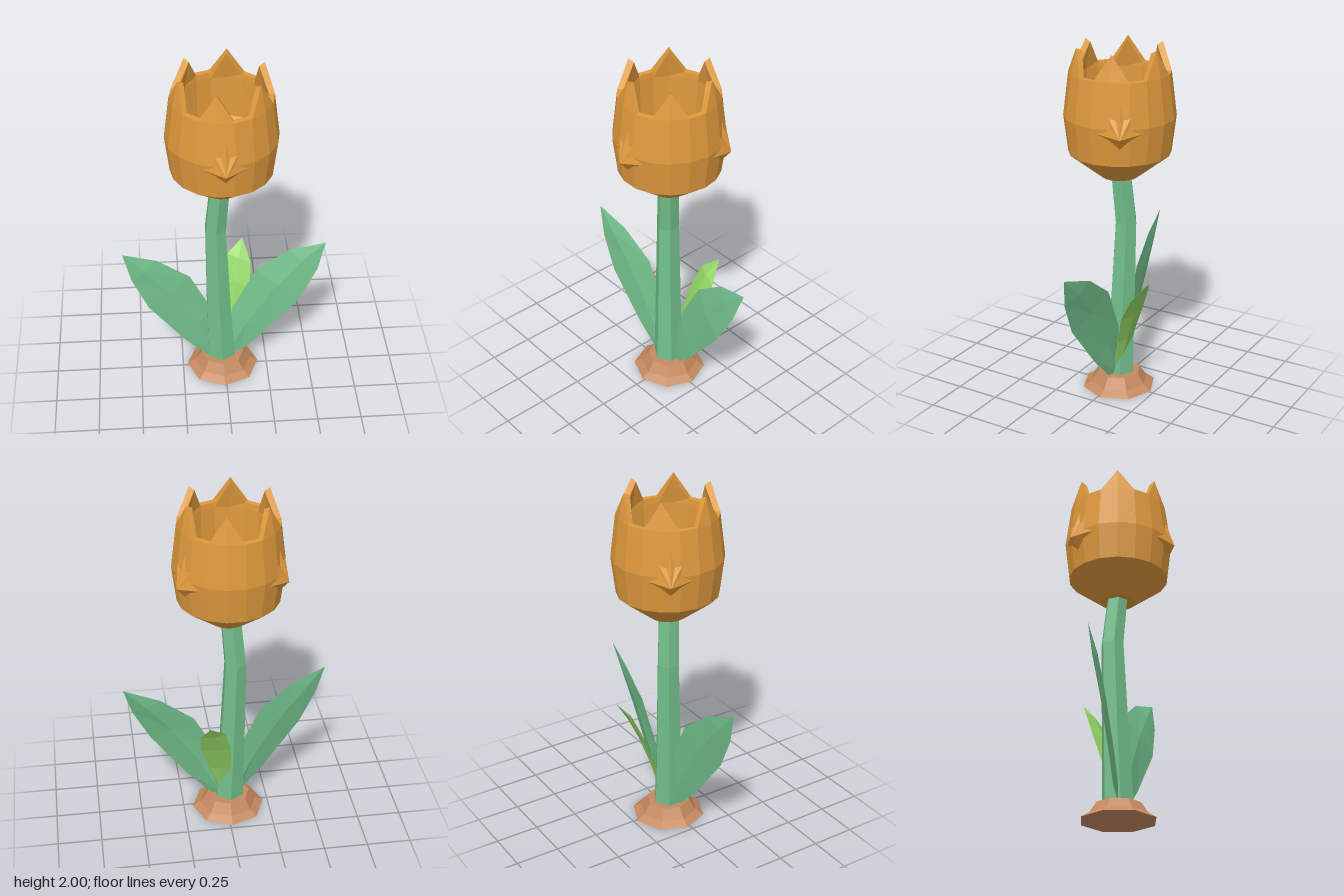
import * as THREE from 'three';

const V = (x, y, z) => new THREE.Vector3(x, y, z);

const mat = (name, color, side = THREE.FrontSide) => {
  const m = new THREE.MeshStandardMaterial({ color, flatShading: true, side });
  m.name = name;
  return m;
};

// Flat-shaded geometry from a list of triangles, dropping zero-area ones
function fromTriangles(tris) {
  const solid = tris.filter(([a, b, c]) =>
    b.clone().sub(a).cross(c.clone().sub(a)).length() > 1e-8);
  const g = new THREE.BufferGeometry().setFromPoints(solid.flat());
  g.computeVertexNormals();
  return g;
}

// Skin a stack of equal-length rings and cap both ends
function loft(rings) {
  const tris = [];
  const n = rings[0].length;
  for (let k = 0; k < rings.length - 1; k++) {
    for (let i = 0; i < n; i++) {
      const j = (i + 1) % n;
      const a = rings[k][i], b = rings[k][j], c = rings[k + 1][j], d = rings[k + 1][i];
      tris.push([a, d, b], [b, d, c]);
    }
  }
  const first = rings[0], last = rings[rings.length - 1];
  for (let i = 1; i < n - 1; i++) {
    tris.push([first[0], first[i], first[i + 1]]);
    tris.push([last[0], last[i + 1], last[i]]);
  }
  return fromTriangles(tris);
}

// Horizontal ring; radius and height may depend on the column
function ring(n, cx, cz, r, y, turn = 0) {
  return Array.from({ length: n }, (_, i) => {
    const t = turn + (i / n) * Math.PI * 2;
    const rad = typeof r === 'function' ? r(i) : r;
    const h = typeof y === 'function' ? y(i) : y;
    return V(cx + rad * Math.cos(t), h, cz + rad * Math.sin(t));
  });
}

// Leaf blade: pairs of edge points with a raised midrib on both faces
function leaf(stations, tip, thick) {
  const top = V(...tip);
  const root = V(...stations[0][0]).add(V(...stations[0][1])).multiplyScalar(0.5);
  const axis = top.clone().sub(root);
  const rings = stations.map(([p, q]) => {
    const a = V(...p), b = V(...q);
    const mid = a.clone().add(b).multiplyScalar(0.5);
    const n = b.clone().sub(a).cross(axis).normalize().multiplyScalar(thick);
    return [a, mid.clone().add(n), b, mid.clone().sub(n)];
  });
  rings.push([top, top, top, top]);
  return loft(rings);
}

export function createModel() {
  const model = new THREE.Group();
  const petalOrange = mat('petal orange', 0xe09a3d);
  const stemGreen = mat('stem green', 0x72bf8b, THREE.DoubleSide);
  const leafLime = mat('lime green', 0x93d565, THREE.DoubleSide);
  const soil = mat('soil brown', 0xc58a60);

  const add = (name, geometry, material, parent = model) => {
    const m = new THREE.Mesh(geometry, material);
    m.name = name;
    parent.add(m);
    return m;
  };

  // Eight-sided mound
  add('soilMound', loft([[0.21, 0], [0.165, 0.03], [0.125, 0.09]]
    .map(([r, y]) => ring(8, -0.013, -0.017, r, y))), soil);

  // Bent six-sided stem: x, z, radius, height
  add('stem', loft([
    [-0.017, -0.017, 0.09, 0.05],
    [-0.034, -0.027, 0.078, 0.45],
    [-0.05, -0.04, 0.065, 1.0],
    [-0.025, -0.02, 0.06, 1.3],
  ].map(([x, z, r, y]) => ring(6, x, z, r, y, Math.PI / 6))), stemGreen);

  // Two broad side leaves
  add('leftLeaf', leaf([
    [[0.0, 0.14, -0.03], [0.07, 0.07, -0.01]],
    [[0.05, 0.40, -0.05], [0.22, 0.23, 0.005]],
    [[0.185, 0.665, -0.065], [0.43, 0.5, 0.02]],
    [[0.37, 0.80, -0.06], [0.53, 0.7, 0.0]],
  ], [0.575, 0.865, -0.03], 0.014), stemGreen);
  add('rightLeaf', leaf([
    [[-0.03, 0.14, -0.02], [-0.09, 0.07, 0.01]],
    [[-0.08, 0.42, -0.03], [-0.24, 0.24, 0.03]],
    [[-0.2, 0.665, -0.025], [-0.44, 0.51, 0.05]],
    [[-0.385, 0.81, 0.0], [-0.53, 0.71, 0.045]],
  ], [-0.575, 0.885, 0.03], 0.014), stemGreen);

  // Small back leaf
  add('backLeaf', leaf([
    [[0.0, 0.14, -0.05], [0.05, 0.13, -0.03]],
    [[-0.02, 0.34, -0.11], [0.10, 0.32, -0.075]],
    [[-0.005, 0.52, -0.175], [0.155, 0.49, -0.125]],
    [[0.03, 0.66, -0.23], [0.165, 0.62, -0.19]],
  ], [0.12, 0.735, -0.28], 0.012), leafLime);

  // Blossom cup: outside wall, jagged rim, then down the inside to the floor
  const flower = new THREE.Group();
  flower.name = 'flower';
  flower.position.set(-0.015, 0, -0.02);
  model.add(flower);
  const tip = (high, low) => (i) => (i % 3 === 2 ? high : low);
  add('blossomCup', loft([
    [0.10, 1.275],
    [0.28, 1.415],
    [0.305, 1.62],
    [0.275, 1.86],
    [tip(0.243, 0.275), tip(2.0, 1.86)],
    [tip(0.21, 0.243), tip(1.985, 1.86)],
    [0.24, 1.83],
    [0.235, 1.6],
    [0.115, 1.42],
  ].map(([r, y]) => ring(18, 0, 0, r, y))), petalOrange);

  // Three pointed bulges pushing out of the cup wall
  const apex = V(0, 1.575, 0.34);
  const outline = [
    [0.175, 1.597, 0.24], [0.07, 1.65, 0.285], [0.09, 1.74, 0.265], [0.025, 1.69, 0.285],
    [0, 1.78, 0.275],
    [-0.025, 1.69, 0.285], [-0.09, 1.74, 0.265], [-0.07, 1.65, 0.285], [-0.175, 1.597, 0.24],
    [0, 1.51, 0.285],
  ].map((p) => V(...p));
  const bulge = fromTriangles(outline.map((p, i) => [apex, p, outline[(i + 1) % outline.length]]));
  for (let k = 0; k < 3; k++) {
    add('petalBulge', bulge, petalOrange, flower).rotation.y = (k * Math.PI * 2) / 3;
  }
  flower.add(model.getObjectByName('blossomCup'));
  return model;
}
